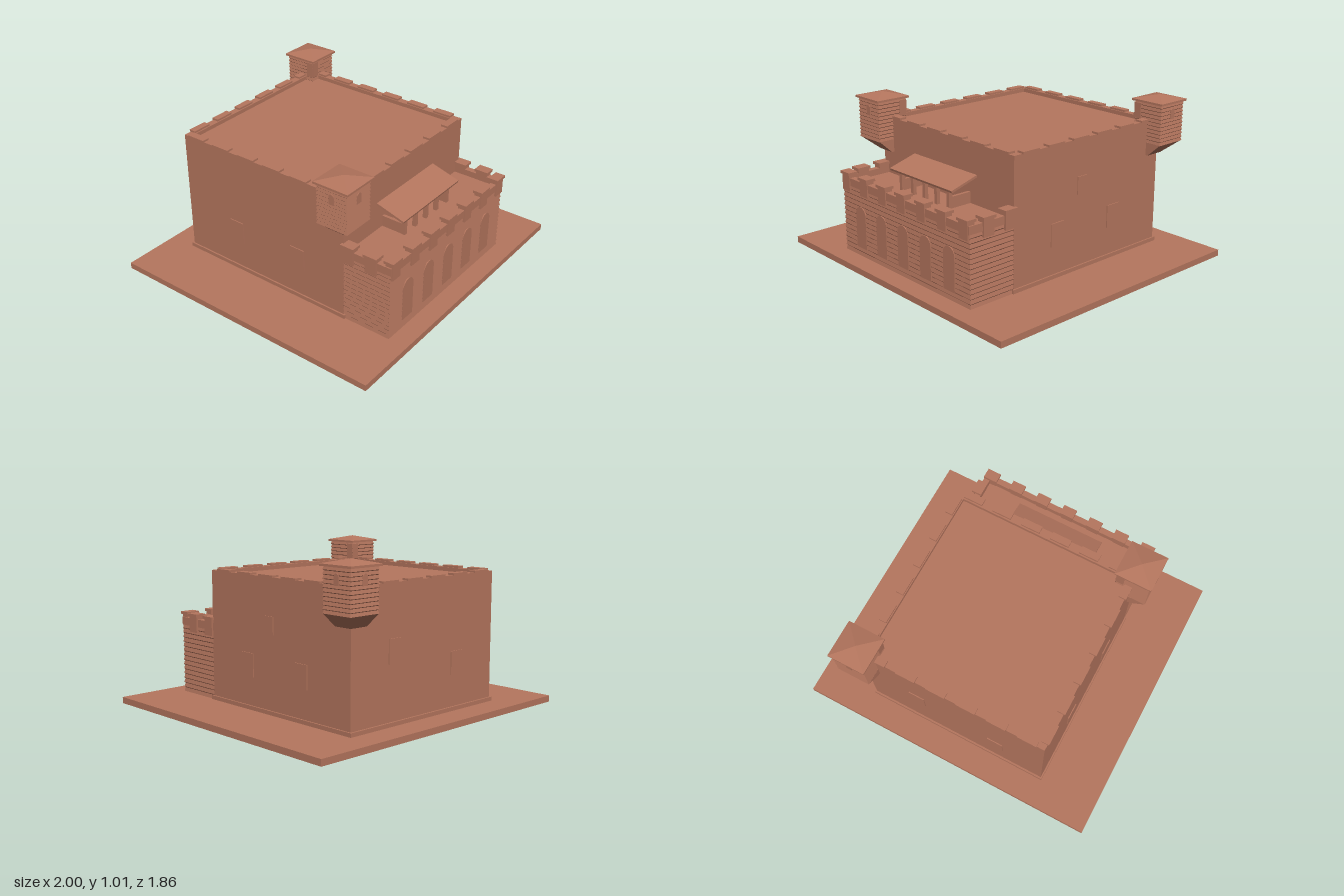
import * as THREE from 'three';

export function createModel() {
  const model = new THREE.Group();
  const clay = new THREE.MeshStandardMaterial({ color: 0xb5765e });
  clay.name = 'terracotta';

  const add = (name, geo, parent = model) => {
    const m = new THREE.Mesh(geo, clay);
    m.name = name;
    parent.add(m);
    return m;
  };
  // Box given by its limits on each axis
  const box = (name, x0, x1, y0, y1, z0, z1, parent) => {
    const m = add(name, new THREE.BoxGeometry(x1 - x0, y1 - y0, z1 - z0), parent);
    m.position.set((x0 + x1) / 2, (y0 + y1) / 2, (z0 + z1) / 2);
    return m;
  };
  // Stack of rectangles [y, x0, x1, z0, z1] skinned into a closed flat-sided solid
  const loft = (sections) => {
    const rings = sections.map(([y, x0, x1, z0, z1]) =>
      [[x0, y, z1], [x1, y, z1], [x1, y, z0], [x0, y, z0]]);
    const pos = [];
    const quad = (a, b, c, d) => [a, b, c, a, c, d].forEach(p => pos.push(...p));
    for (let i = 0; i < rings.length - 1; i++)
      for (let k = 0; k < 4; k++) {
        const n = (k + 1) % 4;
        quad(rings[i][k], rings[i][n], rings[i + 1][n], rings[i + 1][k]);
      }
    quad(...rings[rings.length - 1]);
    quad(...[...rings[0]].reverse());
    const g = new THREE.BufferGeometry();
    g.setAttribute('position', new THREE.Float32BufferAttribute(pos, 3));
    g.computeVertexNormals();
    return g;
  };
  // Walls laid in shallow overlapping courses
  const coursed = (x0, x1, y0, y1, z0, z1, rows, d) => {
    const s = [], h = (y1 - y0) / rows;
    for (let i = 0; i < rows; i++) {
      const y = y0 + i * h;
      s.push([y, x0, x1, z0, z1]);
      s.push([y + h * 0.8, x0 + d, x1 - d, z0 + d, z1 - d]);
    }
    s.push([y1, x0, x1, z0, z1]);
    return loft(s);
  };
  // Thin panel with an optional round head, facing +z
  const panel = (w, h, arched) => {
    const s = new THREE.Shape(), r = w / 2;
    s.moveTo(-r, 0);
    s.lineTo(r, 0);
    s.lineTo(r, arched ? h - r : h);
    if (arched) s.absarc(0, h - r, r, 0, Math.PI, false);
    else s.lineTo(-r, h);
    s.closePath();
    return new THREE.ExtrudeGeometry(s, { depth: 0.008, bevelEnabled: false, curveSegments: 12 });
  };
  const place = (name, geo, x, y, z, turn = 0, parent) => {
    const m = add(name, geo, parent);
    m.position.set(x, y, z);
    m.rotation.y = turn;
  };

  // Ground slab, main block and plinth
  box('groundSlab', -1, 1, 0, 0.04, -0.93, 0.93);
  box('mainBlock', -0.61, 0.61, 0.04, 0.835, -0.745, 0.48);
  box('plinth', -0.62, 0.62, 0.04, 0.065, -0.757, 0.493);

  // Parapet around the flat roof
  box('roofParapet', -0.61, 0.61, 0.835, 0.86, -0.745, -0.7);
  box('roofParapet', -0.61, 0.61, 0.835, 0.86, 0.425, 0.48);
  for (const s of [-1, 1])
    box('roofParapet', s * 0.5875 - 0.0225, s * 0.5875 + 0.0225, 0.835, 0.86, -0.7, 0.425);

  // Low merlons on all four roof edges
  for (let i = 0; i < 6; i++) {
    const x = -0.497 + i * 0.2, z = -0.645 + i * 0.2;
    for (const [z0, z1] of [[-0.752, -0.708], [0.435, 0.482]])
      box('roofMerlon', x - 0.063, x + 0.063, 0.858, 0.872, z0, z1);
    for (const s of [-1, 1])
      box('roofMerlon', s * 0.595 - 0.024, s * 0.595 + 0.024, 0.858, 0.872, z - 0.063, z + 0.063);
  }

  // Front terrace with coursed masonry and five arches
  add('terraceBlock', coursed(-0.61, 0.61, 0.04, 0.49, 0.44, 0.805, 15, 0.005));
  for (let i = -2; i <= 2; i++)
    place('archPanel', panel(0.1, 0.27, true), i * 0.214, 0.095, 0.799);

  // Terrace parapet
  box('terraceParapet', -0.61, 0.61, 0.48, 0.53, 0.768, 0.808);
  for (const s of [-1, 1])
    box('terraceParapet', s * 0.592 - 0.02, s * 0.592 + 0.02, 0.48, 0.53, 0.47, 0.768);

  // Terrace merlons: hanging body with a wider cap
  const merlon = (x, z, wx, wz) => {
    box('merlonBody', x - wx + 0.008, x + wx - 0.008, 0.445, 0.552, z - wz + 0.008, z + wz - 0.008);
    box('merlonCap', x - wx, x + wx, 0.548, 0.565, z - wz, z + wz);
  };
  for (let i = -3; i <= 3; i++) merlon(i * 0.188, 0.789, 0.046, 0.033);
  for (const s of [-1, 1])
    for (const z of [0.515, 0.675]) merlon(s * 0.597, z, 0.034, 0.046);

  // Sloping canopy on posts over the terrace
  const canopy = add('canopyRoof', new THREE.BoxGeometry(0.59, 0.014, 0.21));
  canopy.position.set(0, 0.643, 0.568);
  canopy.rotation.x = Math.atan2(0.055, 0.19);
  box('canopyBeam', -0.25, 0.25, 0.6, 0.618, 0.615, 0.645);
  for (let i = 0; i < 5; i++) {
    const x = -0.225 + i * 0.1125;
    box('canopyPost', x - 0.012, x + 0.012, 0.48, 0.605, 0.618, 0.642);
  }
  for (const s of [-1, 1])
    box('canopySideRail', s * 0.225 - 0.01, s * 0.225 + 0.01, 0.49, 0.56, 0.48, 0.63);

  // Windows on the side and back walls
  const sideWindow = panel(0.105, 0.145, false);
  for (const s of [-1, 1])
    for (const z of [0.135, -0.345])
      place('sideWindow', sideWindow, s * 0.608, 0.243, z, s * Math.PI / 2);
  place('upperSideWindow', panel(0.078, 0.11, false), 0.608, 0.52, -0.066, Math.PI / 2);
  place('backWindow', sideWindow, 0.26, 0.4, -0.743, Math.PI);
  place('backWindow', sideWindow, -0.28, 0.26, -0.743, Math.PI);

  // Corner turrets, outer corner towards -x and +z before turning
  const turret = (name, x, z, turn) => {
    const t = new THREE.Group();
    t.name = name;
    t.position.set(x, 0, z);
    t.rotation.y = turn;
    model.add(t);
    add('turretWalls', coursed(-0.107, 0.107, 0.72, 0.98, -0.107, 0.107, 11, 0.005), t);
    add('turretCorbel', loft([
      [0.64, -0.015, 0.107, -0.107, 0.015],
      [0.722, -0.106, 0.107, -0.107, 0.106]]), t);
    add('turretRoof', loft([
      [0.975, -0.12, 0.12, -0.12, 0.12],
      [0.988, -0.12, 0.12, -0.12, 0.12],
      [1.015, -0.001, 0.001, -0.001, 0.001]]), t);
    const slit = panel(0.036, 0.065, true), door = panel(0.05, 0.1, false);
    place('turretWindow', slit, 0, 0.877, 0.101, 0, t);
    place('turretWindow', slit, -0.101, 0.877, 0, -Math.PI / 2, t);
    place('turretDoor', door, 0.101, 0.865, -0.08, Math.PI / 2, t);
    place('turretDoor', door, 0.08, 0.865, -0.101, Math.PI, t);
  };
  turret('frontTurret', -0.615, 0.482, 0);
  turret('backTurret', 0.612, -0.747, Math.PI);

  return model;
}
